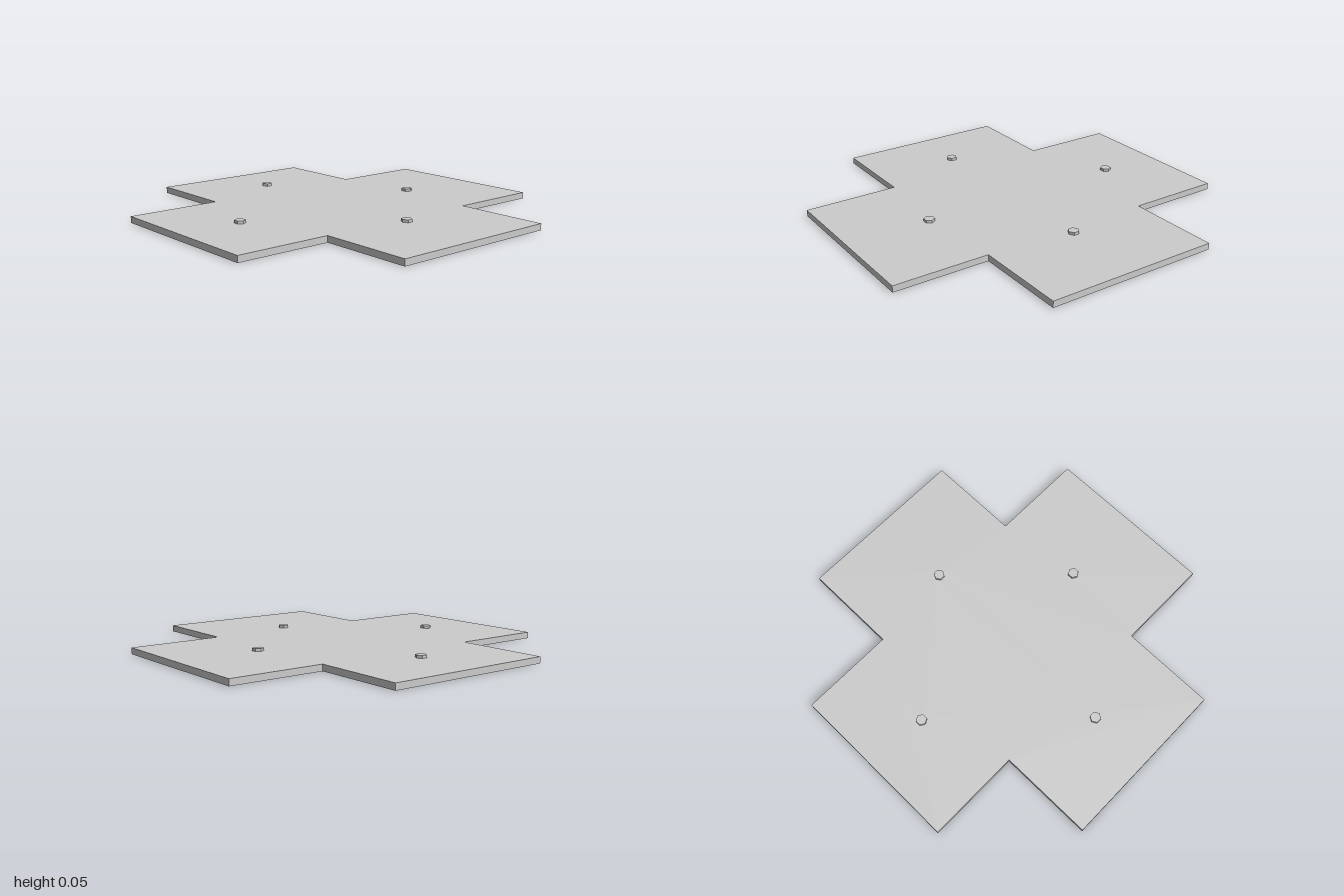
import * as THREE from 'three';

const ARM = 0.48, END = 1, DECK = 0.035, STUD_TOP = 0.05, STUD_R = 0.03;

export function createModel() {
  const model = new THREE.Group();
  model.name = 'crossTray';
  const material = new THREE.MeshStandardMaterial({
    color: 0xcccccc, flatShading: true, side: THREE.DoubleSide,
  });

  const add = (name, geometry, x = 0, y = 0, z = 0, turn = 0) => {
    const mesh = new THREE.Mesh(geometry, material);
    mesh.name = name;
    mesh.position.set(x, y, z);
    mesh.rotation.y = turn;
    model.add(mesh);
  };

  // Studs: x, z and turn, so that their corners point across each arm
  const studs = [
    [-0.65, 0, 0], [0.53, 0, 0],
    [0, -0.65, Math.PI / 2], [0, 0.53, Math.PI / 2],
  ];

  // Cross-shaped deck, open under each hollow stud
  const outline = [
    [ARM, END], [ARM, ARM], [END, ARM], [END, -ARM], [ARM, -ARM], [ARM, -END],
    [-ARM, -END], [-ARM, -ARM], [-END, -ARM], [-END, ARM], [-ARM, ARM], [-ARM, END],
  ].reverse();
  const cross = new THREE.Shape(outline.map(([x, z]) => new THREE.Vector2(x, z)));
  for (const [x, z, turn] of studs) {
    const corners = [];
    for (let i = 0; i < 6; i++) {
      const a = turn + (i * Math.PI) / 3;
      corners.push(new THREE.Vector2(x + STUD_R * Math.sin(a), -z + STUD_R * Math.cos(a)));
    }
    cross.holes.push(new THREE.Path(corners));
  }
  add('deck', new THREE.ShapeGeometry(cross).rotateX(-Math.PI / 2), 0, DECK, 0);

  // Thin skirt walls: the long strip is walled all round, the side arms on three sides
  const wall = (name, length, x, z, turn) =>
    add(name, new THREE.PlaneGeometry(length, DECK), x, DECK / 2, z, turn);
  for (const s of [1, -1]) {
    const facingX = (s * Math.PI) / 2;
    const facingZ = s > 0 ? 0 : Math.PI;
    wall('stripSideWall', 2 * END, s * ARM, 0, facingX);
    wall('stripEndWall', 2 * ARM, 0, s * END, facingZ);
    wall('armEndWall', 2 * ARM, s * END, 0, facingX);
    for (const t of [1, -1]) {
      wall('armSideWall', END - ARM, (t * (END + ARM)) / 2, s * ARM, facingZ);
    }
  }

  // Hollow hexagonal studs with flat caps
  const height = STUD_TOP - DECK;
  for (const [x, z, turn] of studs) {
    add('studSide', new THREE.CylinderGeometry(STUD_R, STUD_R, height, 6, 1, true),
      x, DECK + height / 2, z, turn);
    add('studCap', new THREE.CircleGeometry(STUD_R, 6, Math.PI / 2).rotateX(-Math.PI / 2),
      x, STUD_TOP, z, turn);
  }
  return model;
}
